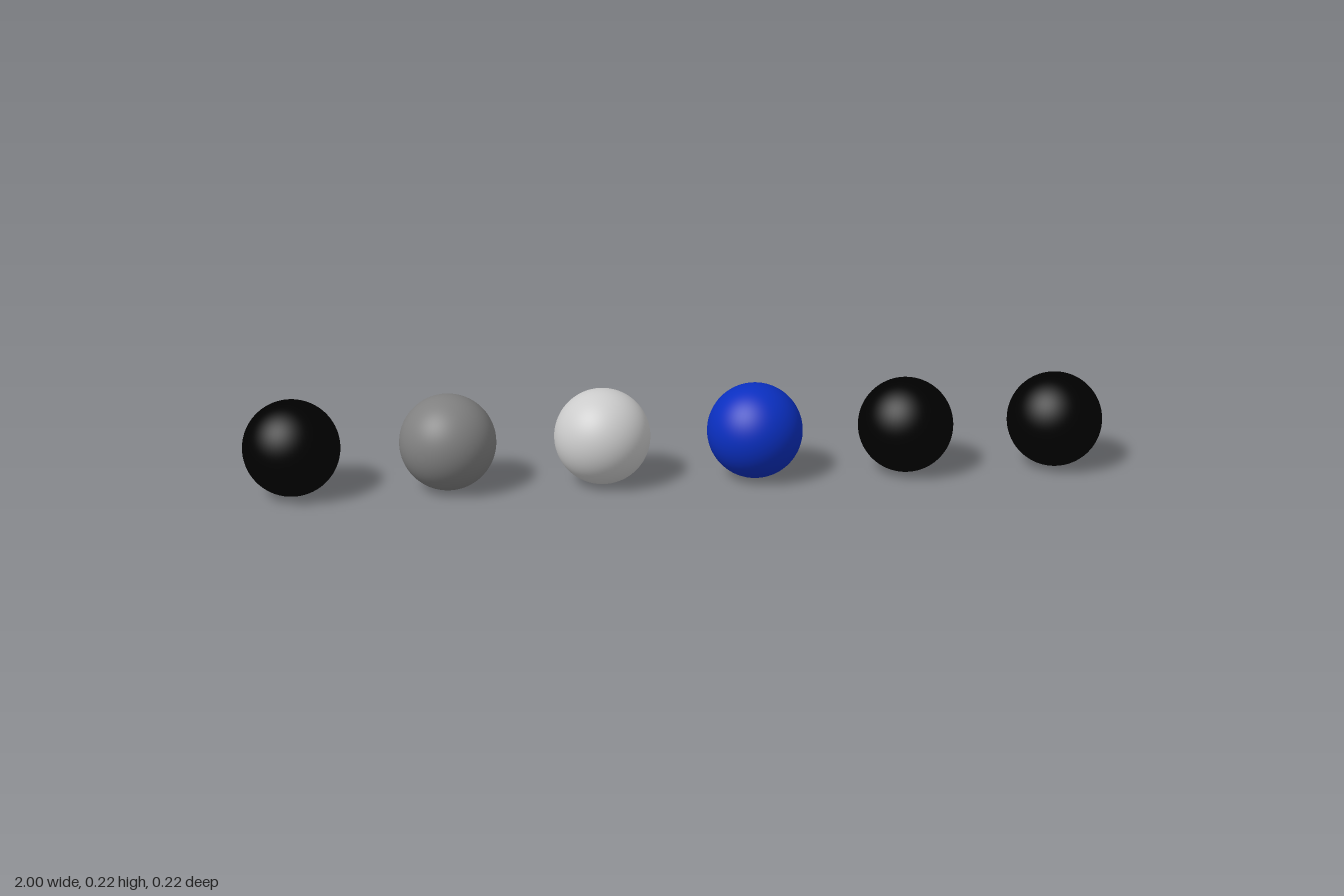
import * as THREE from 'three';

// A straight row of six equal, smooth spheres resting on the ground
export function createModel() {
  const group = new THREE.Group();
  group.name = 'sphereRow';

  const radius = 1 / 9;
  const spacing = 3.2 * radius;
  const geometry = new THREE.SphereGeometry(radius, 64, 48);

  // From the model's right (-x) to its left (+x)
  const spheres = [
    ['blackSphereRight', 0x000000],
    ['greySphere', 0x808080],
    ['lightGreySphere', 0xcccccc],
    ['blueSphere', 0x0a2fc0],
    ['blackSphereInnerLeft', 0x000000],
    ['blackSphereOuterLeft', 0x000000],
  ];

  spheres.forEach(([name, color], i) => {
    const sphere = new THREE.Mesh(geometry, new THREE.MeshStandardMaterial({ color }));
    sphere.name = name;
    sphere.position.set((i - (spheres.length - 1) / 2) * spacing, radius, 0);
    group.add(sphere);
  });

  return group;
}
